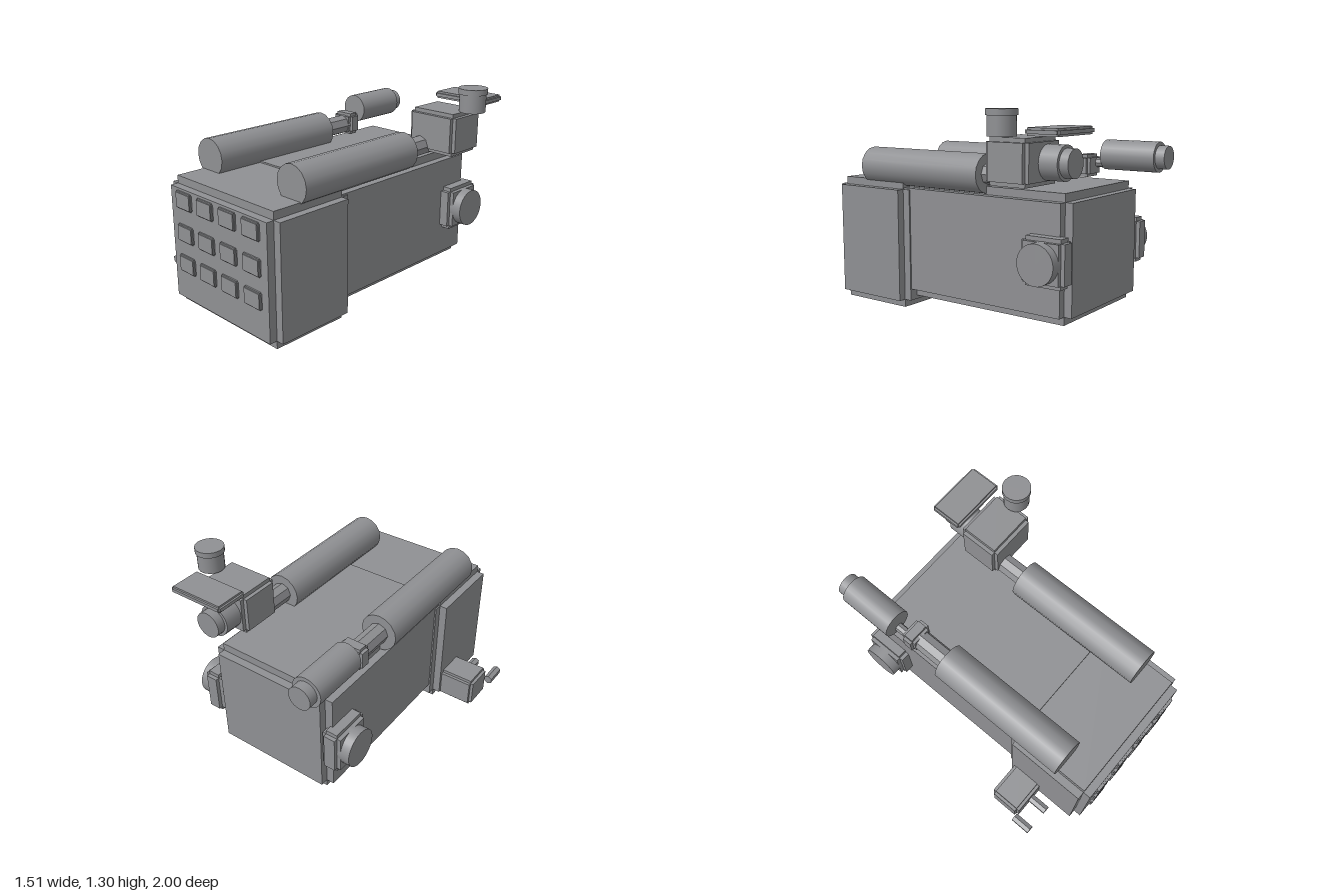
import * as THREE from 'three';
import { mergeGeometries } from 'three/addons/utils/BufferGeometryUtils.js';

const smooth = new THREE.MeshStandardMaterial({ color: 0x8f9093 });
const faceted = new THREE.MeshStandardMaterial({ color: 0x8f9093, flatShading: true });

export function createModel() {
  const model = new THREE.Group();

  const add = (name, geometry, material) => {
    const mesh = new THREE.Mesh(geometry, material);
    mesh.name = name;
    model.add(mesh);
  };

  // Box given by its extents, with a square notch of size n along every edge
  const notchedBox = (name, [x0, x1], [y0, y1], [z0, z1], n) => {
    const size = [x1 - x0, y1 - y0, z1 - z0];
    const slabs = [0, 1, 2].map((axis) =>
      new THREE.BoxGeometry(...size.map((s, i) => (i === axis ? s : s - 2 * n))));
    const geometry = mergeGeometries(slabs);
    geometry.translate((x0 + x1) / 2, (y0 + y1) / 2, (z0 + z1) / 2);
    add(name, geometry, smooth);
  };

  // Cylinder along an axis, from a to b; u and v are its other two coordinates in x, y, z order
  const rod = (name, axis, r, a, b, u, v, sides = 24) => {
    const geometry = new THREE.CylinderGeometry(r, r, b - a, sides);
    const mid = (a + b) / 2;
    if (axis === 'x') geometry.rotateZ(Math.PI / 2).translate(mid, u, v);
    if (axis === 'y') geometry.translate(u, mid, v);
    if (axis === 'z') geometry.rotateX(Math.PI / 2).translate(u, v, mid);
    add(name, geometry, sides <= 8 ? faceted : smooth);
  };

  // Main housings
  notchedBox('frontHousing', [-0.476, 0.503], [0, 0.82], [0.37, 0.983], 0.05);
  notchedBox('rearHousing', [-0.417, 0.444], [0.075, 0.83], [-0.797, 0.47], 0.05);

  // Front button grid
  for (const y of [0.7, 0.49, 0.29]) {
    for (let i = 0; i < 4; i++) {
      const x = -0.292 + i * 0.205;
      notchedBox('button', [x - 0.073, x + 0.073], [y - 0.055, y + 0.055], [0.96, 1], 0.008);
    }
  }

  // Side plates with round knobs
  for (const s of [-1, 1]) {
    const c = 0.013;
    const span = (a, b) => [c + s * a, c + s * b].sort((p, q) => p - q);
    notchedBox('sidePlate', span(0.39, 0.515), [0.307, 0.593], [-0.814, -0.53], 0.025);
    rod('sideKnob', 'x', 0.12, ...span(0.48, 0.573), 0.45, -0.672, 32);
  }

  // Long top cylinders with thin rods behind them
  for (const x of [-0.356, 0.381]) {
    rod('topCylinder', 'z', 0.12, -0.2, 0.74, x, 0.904, 16);
    rod('connectingRod', 'z', 0.065, -0.45, -0.19, x, 0.905, 8);
  }

  // Right rear barrel on its coupling block
  notchedBox('couplingBlock', [-0.44, -0.275], [0.842, 0.985], [-0.508, -0.408], 0.02);
  rod('couplingPin', 'z', 0.03, -0.6, -0.48, -0.39, 0.93, 8);
  rod('rearBarrel', 'z', 0.096, -0.94, -0.575, -0.395, 0.985);
  rod('rearBarrelCap', 'z', 0.073, -1, -0.93, -0.395, 0.985);

  // Left rear box with lens, cover plate and top knob
  notchedBox('rearBox', [0.287, 0.638], [0.87, 1.14], [-0.65, -0.365], 0.025);
  rod('lens', 'z', 0.102, -0.77, -0.64, 0.42, 1.0);
  rod('lensCap', 'z', 0.083, -0.825, -0.76, 0.42, 1.0);
  notchedBox('coverPlate', [0.273, 0.653], [1.155, 1.2], [-0.86, -0.645], 0.012);
  rod('topKnob', 'y', 0.082, 1.15, 1.27, 0.666, -0.511);
  rod('topKnobCap', 'y', 0.09, 1.262, 1.297, 0.666, -0.511);

  // Low side box with two hexagonal pins
  notchedBox('lowSideBox', [-0.71, -0.41], [0.023, 0.225], [0.44, 0.66], 0.02);
  for (const x of [-0.73, -0.56]) rod('hexPin', 'z', 0.03, 0.655, 0.79, x, 0.125, 6);

  return model;
}
